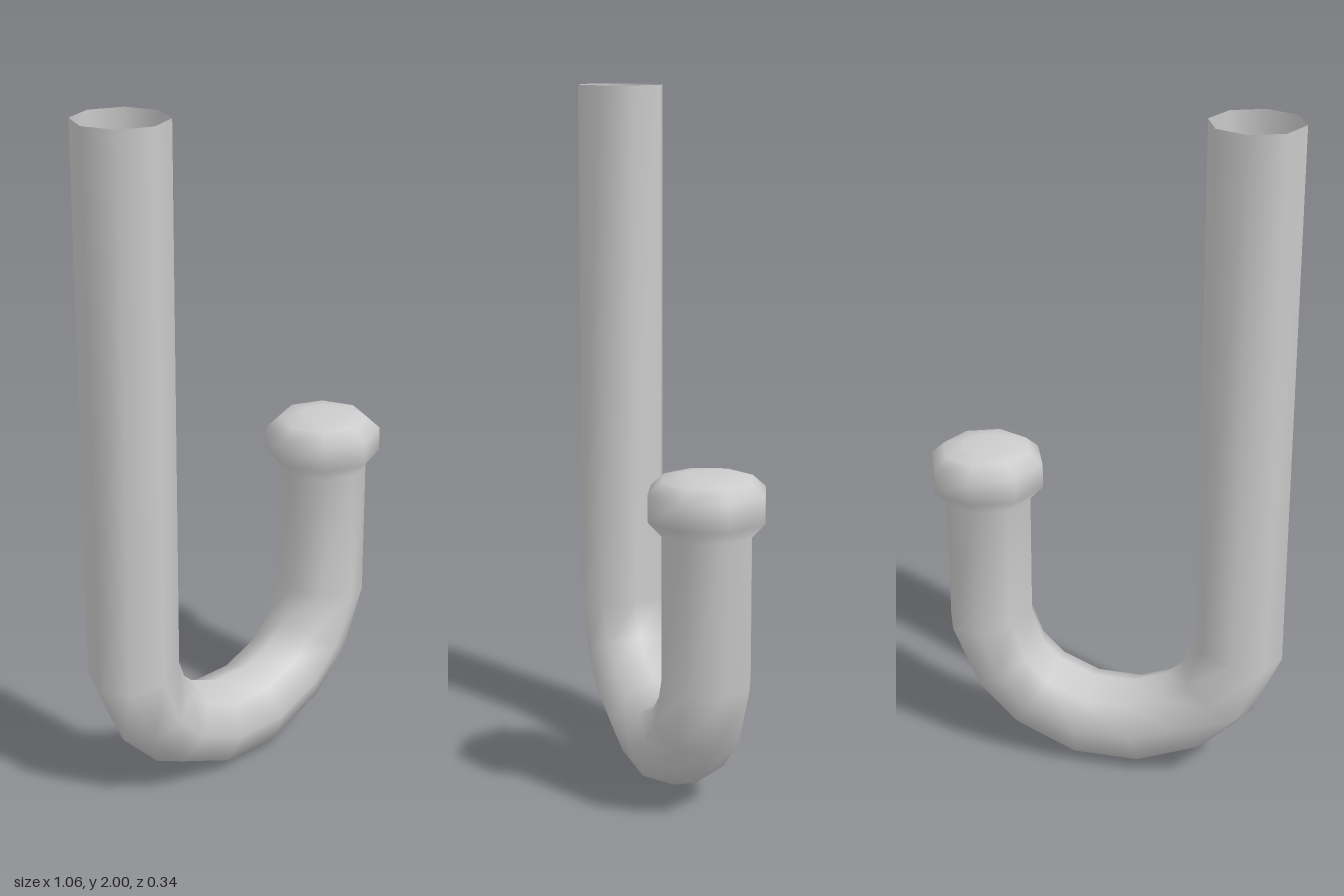
import * as THREE from 'three';

const SIDES = 8;
const TUBE_R = 0.13;

// Skin a row of octagonal rings: [outerX, outerY, innerX, innerY, half depth in z]
function skinRings(rings) {
  const positions = [], index = [];
  for (const [ox, oy, ix, iy, depth = TUBE_R] of rings) {
    for (let j = 0; j < SIDES; j++) {
      const a = (j / SIDES) * Math.PI * 2;
      const t = (1 + Math.cos(a)) / 2;
      positions.push(ix + (ox - ix) * t, iy + (oy - iy) * t, depth * Math.sin(a));
    }
  }
  for (let i = 0; i < rings.length - 1; i++) {
    for (let j = 0; j < SIDES; j++) {
      const p0 = i * SIDES + j, p1 = i * SIDES + (j + 1) % SIDES;
      const q0 = p0 + SIDES, q1 = p1 + SIDES;
      index.push(p0, q0, p1, p1, q0, q1);
    }
  }
  const geometry = new THREE.BufferGeometry();
  geometry.setAttribute('position', new THREE.Float32BufferAttribute(positions, 3));
  geometry.setIndex(index);
  geometry.computeVertexNormals();
  return geometry;
}

export function createModel() {
  const group = new THREE.Group();
  group.name = 'hookedPipe';
  const material = new THREE.MeshStandardMaterial({ color: 0xcccccc, side: THREE.DoubleSide });

  const endX = 0.36;
  const level = (y, r) => [endX + r, y, endX - r, y, r];

  const rings = [
    // long shaft, open at the top
    [-0.53, 2, -0.27, 2],
    // bend
    [-0.53, 0.405, -0.272, 0.455],
    [-0.445, 0.21, -0.235, 0.35],
    [-0.32, 0.085, -0.18, 0.3],
    [-0.125, 0.003, -0.08, 0.26],
    [0.085, 0, 0.04, 0.26],
    [0.28, 0.085, 0.14, 0.3],
    [0.405, 0.21, 0.195, 0.353],
    [0.49, 0.405, 0.232, 0.455],
    // short arm and closed knob
    level(0.835, 0.13),
    level(0.878, 0.169),
    level(0.95, 0.169),
    level(0.985, 0.13),
    level(0.995, 0.07),
  ];
  // centre point closing the knob
  rings.push([endX, 0.995, endX, 0.995, 0]);

  const pipe = new THREE.Mesh(skinRings(rings), material);
  pipe.name = 'bentPipeWithKnob';
  group.add(pipe);
  return group;
}
